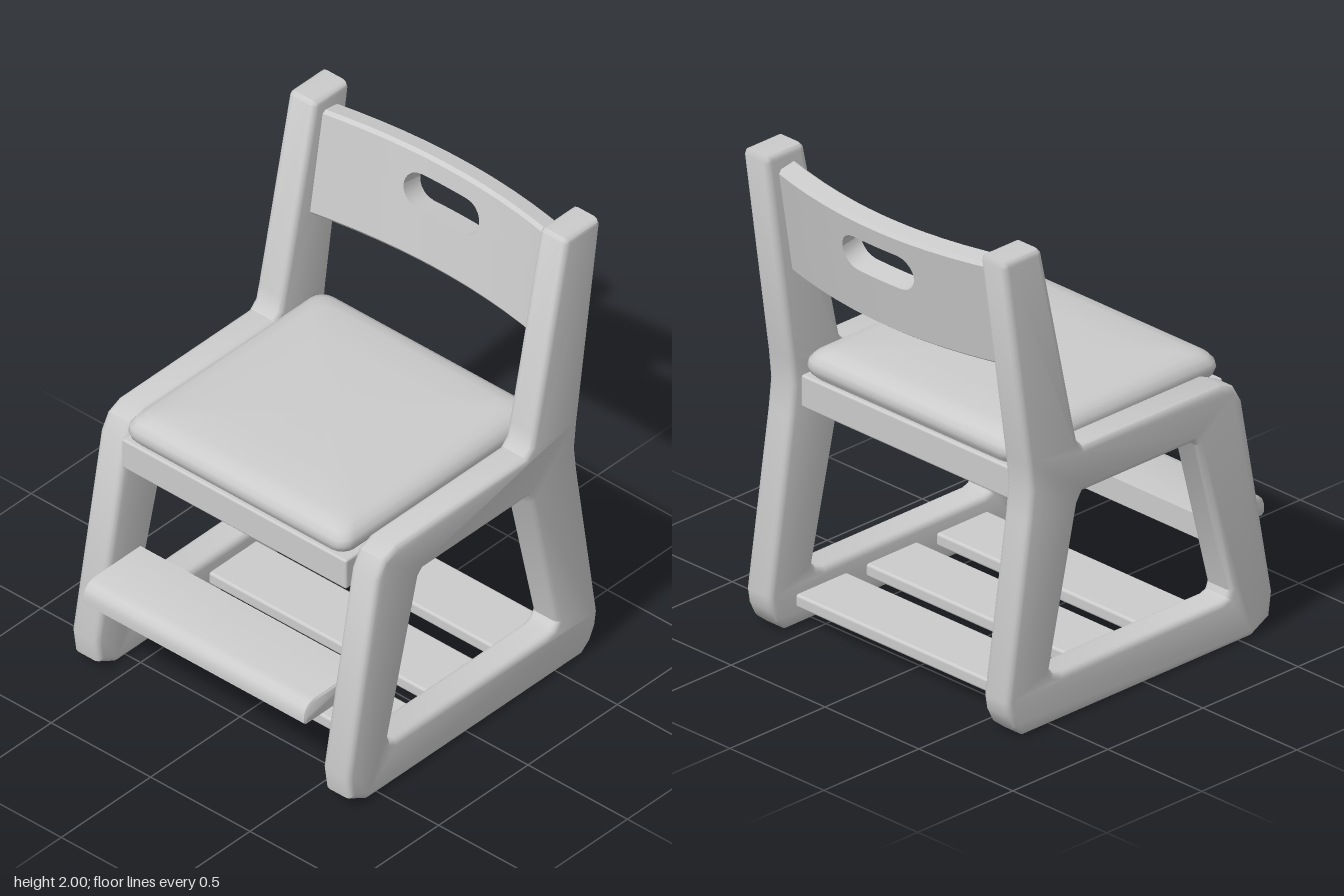
import * as THREE from 'three';
import { toCreasedNormals } from 'three/addons/utils/BufferGeometryUtils.js';
import { RoundedBoxGeometry } from 'three/addons/geometries/RoundedBoxGeometry.js';

const material = new THREE.MeshStandardMaterial({ color: 0xcccccc });

function part(name, geometry, parent, x = 0, y = 0, z = 0) {
  const mesh = new THREE.Mesh(geometry, material);
  mesh.name = name;
  mesh.position.set(x, y, z);
  parent.add(mesh);
  return mesh;
}

// Skin a row of closed rings (equal point counts) and cap both ends.
function loft(rings, crease) {
  const n = rings[0].length, pos = [], idx = [];
  rings.forEach(ring => ring.forEach(p => pos.push(...p)));
  for (let i = 0; i < rings.length - 1; i++) {
    for (let j = 0; j < n; j++) {
      const a = i * n + j, b = i * n + (j + 1) % n;
      idx.push(a, b, b + n, a, b + n, a + n);
    }
  }
  const last = (rings.length - 1) * n;
  for (let j = 1; j < n - 1; j++) {
    idx.push(0, j + 1, j, last, last + j, last + j + 1);
  }
  const g = new THREE.BufferGeometry();
  g.setAttribute('position', new THREE.Float32BufferAttribute(pos, 3));
  g.setIndex(idx);
  return toCreasedNormals(g, crease);
}

// Side frame: outline in (z, y) with one opening, softly bevelled.
function frameGeometry() {
  const pts = list => list.map(p => new THREE.Vector2(...p));
  const shape = new THREE.Shape(pts([
    [0.56, 0], [-0.64, 0], [-0.69, 0.04], [-0.72, 0.1], [-0.73, 0.16],
    [-0.62, 0.88], [-0.607, 1.0], [-0.62, 1.12], [-0.745, 1.975], [-0.735, 2],
    [-0.56, 2], [-0.545, 1.985], [-0.37, 1.19], [-0.355, 1.13], [-0.325, 1.1],
    [0.40, 1.1], [0.47, 1.07], [0.51, 1.0], [0.67, 0.15], [0.655, 0.05],
  ].reverse()));
  shape.holes.push(new THREE.Path(pts([
    [0.25, 0.91], [0.27, 0.89], [0.44, 0.23], [0.43, 0.205], [0.40, 0.195],
    [-0.44, 0.195], [-0.48, 0.205], [-0.50, 0.23], [-0.355, 0.87], [-0.33, 0.91],
  ])));
  const bevel = 0.025, width = 0.135;
  const g = new THREE.ExtrudeGeometry(shape, {
    depth: width - 2 * bevel, bevelEnabled: true, bevelThickness: bevel,
    bevelSize: bevel, bevelOffset: -bevel, bevelSegments: 3,
  });
  g.translate(0, 0, bevel - width / 2);
  g.rotateY(-Math.PI / 2);
  return toCreasedNormals(g, 0.6);
}

// Curved back board, made as an upper and a lower half around the hand slot.
function backHalf(side) {
  const half = 0.2275, thick = 0.0475, b = 0.014, slotY = 0.064, slotR = 0.075, slotMid = 0.115;
  const right = [0, 0.06, 0.115, 0.14, 0.16, 0.177, 0.187, 0.19, 0.28, 0.38, 0.48, 0.572];
  const xs = [...right.slice(1).reverse().map(x => -x), ...right];
  const rings = xs.map(x => {
    const d = Math.max(0, Math.abs(x) - slotMid);
    const inner = slotY + side * Math.sqrt(Math.max(0, slotR * slotR - d * d));
    const outer = side * half;
    const zc = -0.07 + 0.07 * (x / 0.565) ** 2;
    const ring = [
      [x, inner, zc - thick], [x, outer - side * b, zc - thick], [x, outer, zc - thick + b],
      [x, outer, zc + thick - b], [x, outer - side * b, zc + thick], [x, inner, zc + thick],
    ];
    return side > 0 ? ring : ring.reverse();
  });
  return loft(rings, 0.5);
}

// Padded seat: rounded rectangles stacked upward as [height, inset].
function cushionGeometry() {
  const halfX = 0.56, front = 0.54, back = -0.575;
  const halfZ = (front - back) / 2, midZ = (front + back) / 2;
  const levels = [[1.0, 0.03], [1.04, 0.025], [1.06, 0.008], [1.085, 0], [1.11, 0.004],
    [1.135, 0.022], [1.152, 0.05], [1.163, 0.1], [1.17, 0.25], [1.174, 0.45]];
  const rings = levels.map(([y, inset]) => {
    const ring = [], r = 0.06;
    for (let c = 0; c < 4; c++) {
      for (let k = 0; k <= 4; k++) {
        const t = (c + k / 4) * Math.PI / 2;
        const sz = c === 0 || c === 3 ? 1 : -1, sx = c < 2 ? 1 : -1;
        ring.push([
          sx * (halfX - inset - r) + r * Math.sin(t), y,
          midZ + sz * (halfZ - inset - r) + r * Math.cos(t),
        ]);
      }
    }
    return ring;
  });
  return loft(rings, 0.8);
}

// Foot rest: board with a rounded front top edge, profile in (z, y).
function footRestGeometry() {
  const profile = [[0.44, 0.39], [0.75, 0.39], [0.76, 0.4], [0.76, 0.435], [0.75, 0.46],
    [0.73, 0.478], [0.70, 0.487], [0.44, 0.487]];
  const rings = [[-0.562, 0.008], [-0.555, 0], [0.555, 0], [0.562, 0.008]].map(([x, inset]) =>
    profile.map(([z, y]) => [
      x, y + (y < 0.43 ? inset : -inset), z + (z > 0.6 ? -inset : inset),
    ]).reverse());
  return loft(rings, 0.7);
}

export function createModel() {
  const model = new THREE.Group();
  model.name = 'chair';

  const frame = frameGeometry();
  part('leftFrame', frame, model, 0.632);
  part('rightFrame', frame, model, -0.632);

  // Seat board and cushion
  part('seatBoard', new RoundedBoxGeometry(1.13, 0.135, 1.105, 2, 0.01), model, 0, 0.9725, -0.0175);
  part('seatCushion', cushionGeometry(), model);

  // Leaning back board
  const back = new THREE.Group();
  back.name = 'backrest';
  back.position.set(0, 1.713, -0.602);
  back.rotation.x = -0.165;
  part('backrestUpper', backHalf(1), back);
  part('backrestLower', backHalf(-1), back);
  model.add(back);

  // Foot rest and the three low slats
  part('footRest', footRestGeometry(), model);
  const slat = new RoundedBoxGeometry(1.14, 0.055, 0.27, 2, 0.012);
  [-0.46, -0.09, 0.28].forEach((z, i) => part('lowerSlat' + (i + 1), slat, model, 0, 0.105, z));

  return model;
}
